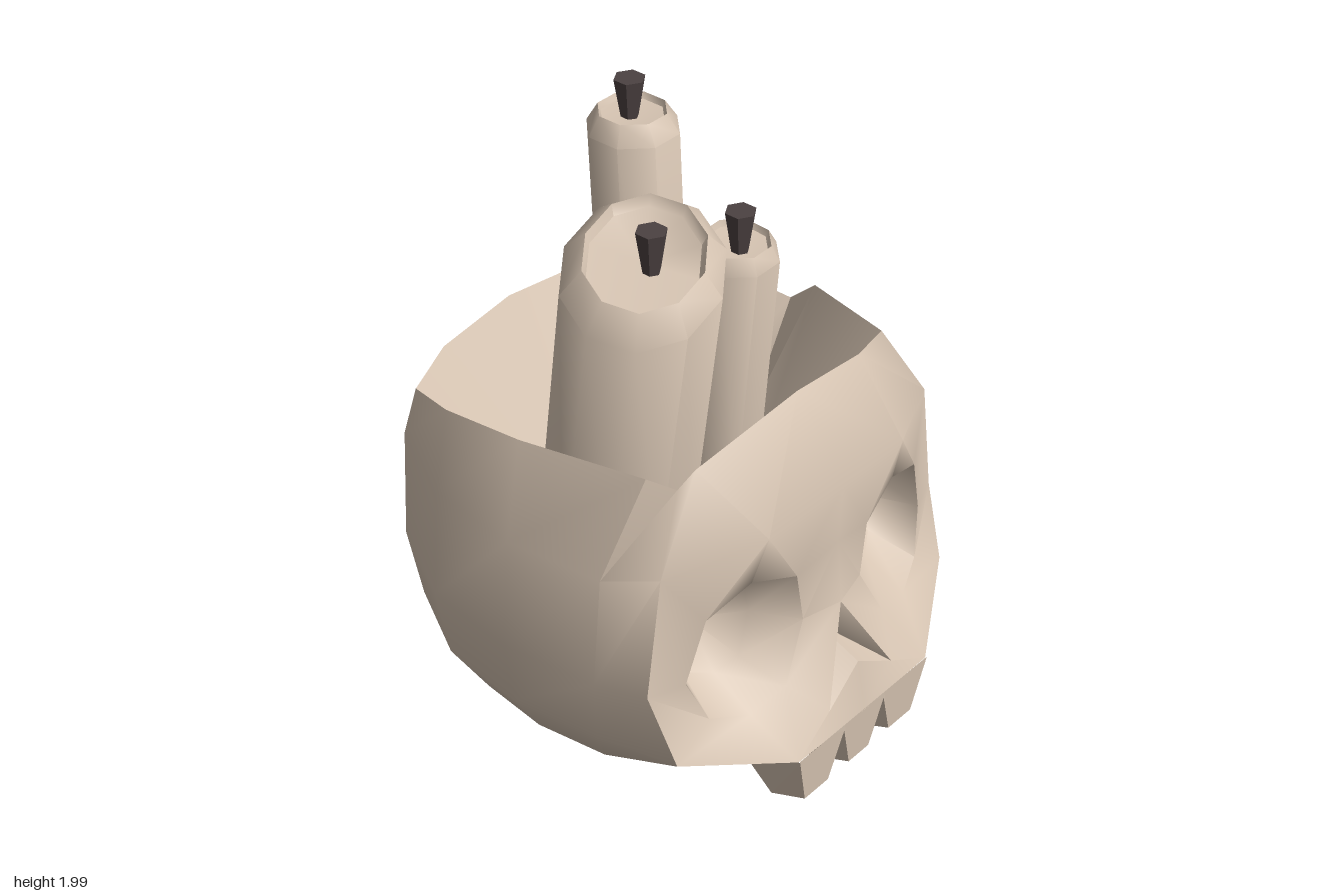
import * as THREE from 'three';
import { toCreasedNormals } from 'three/addons/utils/BufferGeometryUtils.js';

const bone = new THREE.MeshStandardMaterial({ color: 0xd6c4b2 });
bone.name = 'bone and wax';
const char = new THREE.MeshStandardMaterial({ color: 0x4c4242 });
char.name = 'charred wick';

// Collects triangles and quads; mirrored ones flip x and the winding.
class Builder {
  constructor() { this.pos = []; }
  tri(a, b, c, flip = false) {
    for (const p of flip ? [a, c, b] : [a, b, c]) this.pos.push(...p);
  }
  quad(a, b, c, d, flip) { this.tri(a, b, c, flip); this.tri(a, c, d, flip); }
  geometry() {
    const g = new THREE.BufferGeometry();
    g.setAttribute('position', new THREE.Float32BufferAttribute(this.pos, 3));
    g.computeVertexNormals();
    return g;
  }
}

function add(group, name, geometry, material) {
  const m = new THREE.Mesh(geometry, material);
  m.name = name;
  group.add(m);
  return m;
}

// Horizontal outline from beside the face to the back centre
const PLAN = [[0.73, 0.33], [0.77, 0], [0.73, -0.33], [0.57, -0.62], [0.32, -0.755], [0, -0.79]];
const level = (y, kx, kz, zo = 0) => PLAN.map(([x, z]) => [x * kx, y, z * kz + zo]);

// Broken rim, front centre to back centre, different on each side
const RIM_LEFT = [
  [0, 1.32, 0.485], [0.32, 1.275, 0.465], [0.51, 1.24, 0.41], [0.575, 1.245, 0.1], [0.685, 1.07, -0.08],
  [0.58, 1.16, -0.4], [0.51, 1.11, -0.59], [0.32, 1.14, -0.655], [0, 1.16, -0.68]];
const RIM_RIGHT = [
  [0, 1.32, 0.485], [0.42, 1.25, 0.45], [0.475, 1.2, 0.43], [0.565, 1.27, 0.39], [0.59, 1.2, -0.08],
  [0.57, 1.15, -0.4], [0.51, 1.11, -0.59], [0.32, 1.14, -0.655], [0, 1.16, -0.68]];

// Eye outline, anticlockwise from the brow
const EYE = [
  [0.34, 0.87, 0.6], [0.17, 0.81, 0.635], [0.14, 0.63, 0.64], [0.24, 0.44, 0.66],
  [0.38, 0.41, 0.64], [0.51, 0.45, 0.585], [0.57, 0.6, 0.545], [0.505, 0.81, 0.565]];

function skullHalf(b, s) {
  const m = (p) => [p[0] * s, p[1], p[2]];
  const T = (p, q, r) => b.tri(m(p), m(q), m(r), s < 0);
  const Q = (p, q, r, t) => b.quad(m(p), m(q), m(r), m(t), s < 0);
  const rim = s > 0 ? RIM_LEFT : RIM_RIGHT;

  // Cranium rows, top to bottom
  const rows = [
    rim,
    [[0, 1.06, 0.665], [0.32, 1.04, 0.645], [0.63, 1.0, 0.5], ...level(0.95, 0.955, 0.995)],
    [null, null, [0.69, 0.6, 0.5], ...level(0.58, 1, 0.99)],
    [[0, 0.26, 0.785], [0.32, 0.26, 0.78], [0.655, 0.36, 0.585], ...level(0.34, 0.955, 0.93)],
    [[0, 0.19, 0.4], [0.32, 0.19, 0.4], [0.54, 0.17, 0.36], ...level(0.13, 0.78, 0.75, -0.03)],
    [[0, 0.03, 0.07], [0.16, 0.03, 0.06], [0.28, 0.03, 0.02], ...level(0.03, 0.5, 0.42, -0.2)],
  ];
  const pole = [0, 0.01, -0.25];
  for (let r = 0; r < 5; r++) {
    const first = r === 1 || r === 2 ? 2 : 0;
    for (let c = first; c < 8; c++) Q(rows[r][c], rows[r + 1][c], rows[r + 1][c + 1], rows[r][c + 1]);
  }
  for (let c = 0; c < 8; c++) T(rows[5][c], pole, rows[5][c + 1]);

  // Hollow inside
  const floorY = 0.72;
  const floor = rim.map(([x, , z]) => [x * 0.63, floorY, z * 0.63]);
  for (let c = 0; c < 8; c++) {
    Q(rim[c], rim[c + 1], floor[c + 1], floor[c]);
    T(floor[c], floor[c + 1], [0, floorY, -0.06]);
  }

  // Face around the eye and nose
  const [e0, e1, e2, e3, e4, e5, e6, e7] = EYE;
  const [b0, b1, b2] = rows[1];
  const f1 = rows[2][2];
  const [l0, l1, f2] = rows[3];
  const g = [0, 0.85, 0.655];
  const n0 = [0, 0.63, 0.675], n1 = [0.155, 0.345, 0.765], n2 = [0, 0.435, 0.75], deep = [0, 0.5, 0.59];
  [[b0, g, e1], [b0, e1, b1], [b1, e1, e0], [b1, e0, e7], [b1, e7, b2], [b2, e7, e6], [b2, e6, f1],
    [f1, e6, e5], [f1, e5, f2], [f2, e5, e4], [f2, e4, l1], [l1, e4, e3], [l1, e3, n1], [l1, n1, l0],
    [l0, n1, n2], [n1, e3, n0], [n0, e3, e2], [n0, e2, g], [g, e2, e1],
    [n0, deep, n1], [deep, n2, n1]].forEach((t) => T(...t));

  // Eye socket
  const mid = [0.36, 0.63, 0.37];
  const inner = EYE.map(([x, y, z]) => [x + (mid[0] - x) * 0.35, y + (mid[1] - y) * 0.35, z - 0.15]);
  for (let i = 0; i < 8; i++) {
    const j = (i + 1) % 8;
    Q(EYE[i], EYE[j], inner[j], inner[i]);
    T(inner[i], inner[j], mid);
  }
}

// Upper teeth: zigzag sections lofted from front to back
function teethGeometry() {
  const b = new Builder();
  const half = [[0.32, 0.26, 0.22], [0.27, 0.07, 0.015], [0.155, 0.07, 0.015], [0.1, 0.24, 0.06], [0.05, 0.07, 0.015]];
  const line = [...half.map(([x, f, k]) => [-x, f, k]), ...half.slice().reverse()];
  const sections = [
    line.map(([x]) => [x, 0.265, 0.785]),
    line.map(([x, y]) => [x, y, 0.77 + (y - 0.07) * 0.08]),
    line.map(([x, , y]) => [x, y, 0.64]),
    line.map(([x]) => [x * 0.95, 0.205, 0.39]),
  ];
  for (let r = 0; r < 3; r++) {
    for (let i = 0; i < line.length - 1; i++) {
      b.quad(sections[r][i], sections[r + 1][i], sections[r + 1][i + 1], sections[r][i + 1]);
    }
  }
  return b.geometry();
}

// Leaning candle with a bevelled, optionally slanted top and a wick
function candle(name, o) {
  const group = new THREE.Group();
  group.name = name;
  const base = 0.65, { r, x, y, z, bevel, dip, lean, slant } = o;
  const profile = [[r, base], [r, y - bevel], [r * o.cap, y], [r * o.cap * 0.92, y - dip], [0, y - dip - 0.01]]
    .map((p) => new THREE.Vector2(...p));
  const geo = new THREE.LatheGeometry(profile, o.sides, Math.PI / o.sides);
  const p = geo.attributes.position;
  for (let i = 0; i < p.count; i++) {
    const px = p.getX(i), py = p.getY(i), pz = p.getZ(i);
    const lift = py > base + 0.1 ? slant[0] * px + slant[1] * pz : 0;
    p.setXYZ(i, px + x, py + lift, pz + z + lean * (py - y));
  }
  add(group, name + 'Wax', toCreasedNormals(geo, 0.9), bone);
  const h = o.wick[3] - o.wick[1];
  const wick = new THREE.CylinderGeometry(0.05, 0.028, h, 6).toNonIndexed();
  wick.computeVertexNormals();
  add(group, name + 'Wick', wick, char).position.set(o.wick[0], o.wick[1] + h / 2, o.wick[2]);
  return group;
}

export function createModel() {
  const model = new THREE.Group();
  model.name = 'skullCandleHolder';

  const skull = new Builder();
  skullHalf(skull, 1);
  skullHalf(skull, -1);
  add(model, 'skull', toCreasedNormals(skull.geometry(), 0.9), bone);
  add(model, 'upperTeeth', teethGeometry(), bone);

  model.add(candle('tallCandle', {
    r: 0.148, x: 0.17, y: 1.9, z: -0.3, bevel: 0.06, cap: 0.74, dip: 0.02, lean: -0.05,
    slant: [0, 0], sides: 8, wick: [0.17, 1.87, -0.31, 2.0] }));
  model.add(candle('shortCandle', {
    r: 0.14, x: 0.243, y: 1.55, z: 0.05, bevel: 0.05, cap: 0.78, dip: 0.02, lean: 0.08,
    slant: [0.03, -0.06], sides: 8, wick: [0.235, 1.52, 0.07, 1.66] }));
  model.add(candle('wideCandle', {
    r: 0.252, x: -0.13, y: 1.66, z: 0.01, bevel: 0.07, cap: 0.75, dip: 0.03, lean: 0.12,
    slant: [0.4, -0.25], sides: 10, wick: [-0.135, 1.61, 0.04, 1.75] }));

  return model;
}
